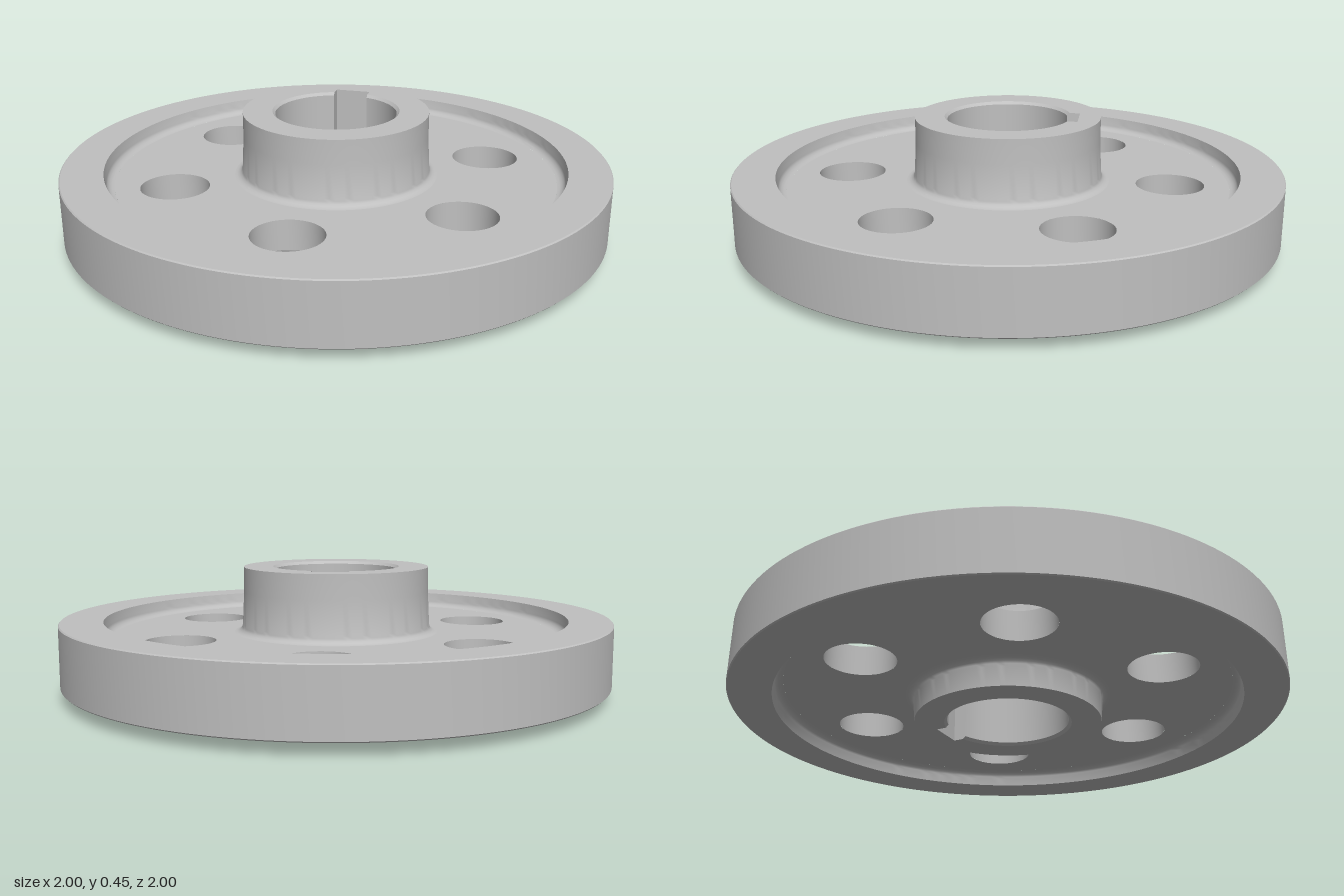
import * as THREE from 'three';
import { toCreasedNormals } from 'three/addons/utils/BufferGeometryUtils.js';

const RIM_LOW = 0.042, RIM_TOP = 0.266;
const WEB_LOW = 0.1, WEB_TOP = 0.21;
const HUB_TOP = 0.45, HUB_R = 0.34;
const FILLET = 0.03, KEY_HALF = 0.065, KEY_TOP = 0.26;
const HOLE_R = 0.124, HOLE_RING = 0.598;

const crease = (geometry) => toCreasedNormals(geometry, 0.5);

// Points [r, y] of a quarter fillet, angles in degrees
function fillet(cx, cy, from, to, steps = 5) {
  return Array.from({ length: steps + 1 }, (_, i) => {
    const a = THREE.MathUtils.degToRad(from + ((to - from) * i) / steps);
    return [cx + FILLET * Math.cos(a), cy + FILLET * Math.sin(a)];
  });
}

function lathe(points, segments = 128) {
  return crease(new THREE.LatheGeometry(points.map(([r, y]) => new THREE.Vector2(r, y)), segments));
}

function circle(r, x = 0, y = 0) {
  return new THREE.Path().absarc(x, y, r, 0, Math.PI * 2);
}

// Flat face at a height, facing up or down
function face(outerRadius, holes, y, up) {
  const shape = new THREE.Shape().absarc(0, 0, outerRadius, 0, Math.PI * 2);
  shape.holes.push(...holes);
  const geometry = new THREE.ShapeGeometry(shape, 64).rotateX(-Math.PI / 2).translate(0, y, 0);
  if (!up) geometry.index.array.reverse();
  return crease(geometry);
}

// Round bore outline with a rectangular keyway
function boreOutline(r) {
  const a = Math.acos(KEY_HALF / r);
  const start = Math.PI - a, sweep = Math.PI + 2 * a, steps = 72;
  const points = [];
  for (let i = 0; i <= steps; i++) {
    const t = start + (sweep * i) / steps;
    points.push(new THREE.Vector2(r * Math.cos(t), r * Math.sin(t)));
  }
  points.push(new THREE.Vector2(KEY_HALF, KEY_TOP), new THREE.Vector2(-KEY_HALF, KEY_TOP));
  return points;
}

// Inward-facing wall through the bore, chamfered at both ends
function boreGeometry() {
  const rings = [[0.232, 0], [0.222, 0.01], [0.222, HUB_TOP - 0.01], [0.232, HUB_TOP]];
  const positions = [], index = [];
  let n = 0;
  for (const [r, y] of rings) {
    const outline = boreOutline(r);
    n = outline.length;
    outline.forEach((p) => positions.push(p.x, y, -p.y));
  }
  for (let j = 0; j < rings.length - 1; j++) {
    for (let i = 0; i < n; i++) {
      const a = j * n + i, b = j * n + ((i + 1) % n);
      index.push(a, b + n, b, a, a + n, b + n);
    }
  }
  const geometry = new THREE.BufferGeometry();
  geometry.setAttribute('position', new THREE.Float32BufferAttribute(positions, 3));
  geometry.setIndex(index);
  return crease(geometry);
}

export function createModel() {
  const model = new THREE.Group();
  model.name = 'wheel';
  const metal = new THREE.MeshStandardMaterial({ color: 0xc0c0c0 });
  metal.name = 'greyMetal';

  const add = (name, geometry, parent = model) => {
    const mesh = new THREE.Mesh(geometry, metal);
    mesh.name = name;
    parent.add(mesh);
    return mesh;
  };
  const group = (name) => {
    const g = new THREE.Group();
    g.name = name;
    model.add(g);
    return g;
  };

  // Rim with slightly broken outer edges and filleted inner walls
  add('rim', lathe([
    ...fillet(0.81, WEB_LOW - FILLET, 90, 0),
    [0.845, RIM_LOW], [0.996, RIM_LOW], [1, RIM_LOW + 0.004],
    [1, RIM_TOP - 0.004], [0.996, RIM_TOP], [0.845, RIM_TOP],
    ...fillet(0.81, WEB_TOP + FILLET, 0, -90),
  ], 160));

  // Web with six round holes
  const web = group('web');
  const centres = Array.from({ length: 6 }, (_, i) => {
    const a = Math.PI / 2 + (i * Math.PI) / 3;
    return [HOLE_RING * Math.cos(a), HOLE_RING * Math.sin(a)];
  });
  const webHoles = [circle(0.376), ...centres.map(([x, y]) => circle(HOLE_R, x, y))];
  add('webTop', face(0.81, webHoles, WEB_TOP, true), web);
  add('webUnderside', face(0.81, webHoles, WEB_LOW, false), web);
  const holeWall = lathe([[HOLE_R, WEB_TOP], [HOLE_R, WEB_LOW]], 64);
  for (const [x, y] of centres) add('holeWall', holeWall, web).position.set(x, 0, -y);

  // Hub above and below the web, with a keyed bore
  const hub = group('hub');
  add('upperHub', lathe([
    ...fillet(0.376, WEB_TOP + FILLET, 270, 180),
    [HUB_R, 0.36], [HUB_R, HUB_TOP],
  ]), hub);
  add('lowerHub', lathe([
    [HUB_R, 0],
    ...fillet(0.376, WEB_LOW - FILLET, 180, 90),
  ]), hub);
  const boreHole = () => new THREE.Path(boreOutline(0.232));
  add('hubTopFace', face(HUB_R, [boreHole()], HUB_TOP, true), hub);
  add('hubBottomFace', face(HUB_R, [boreHole()], 0, false), hub);
  add('boreAndKeyway', boreGeometry(), hub);

  return model;
}
